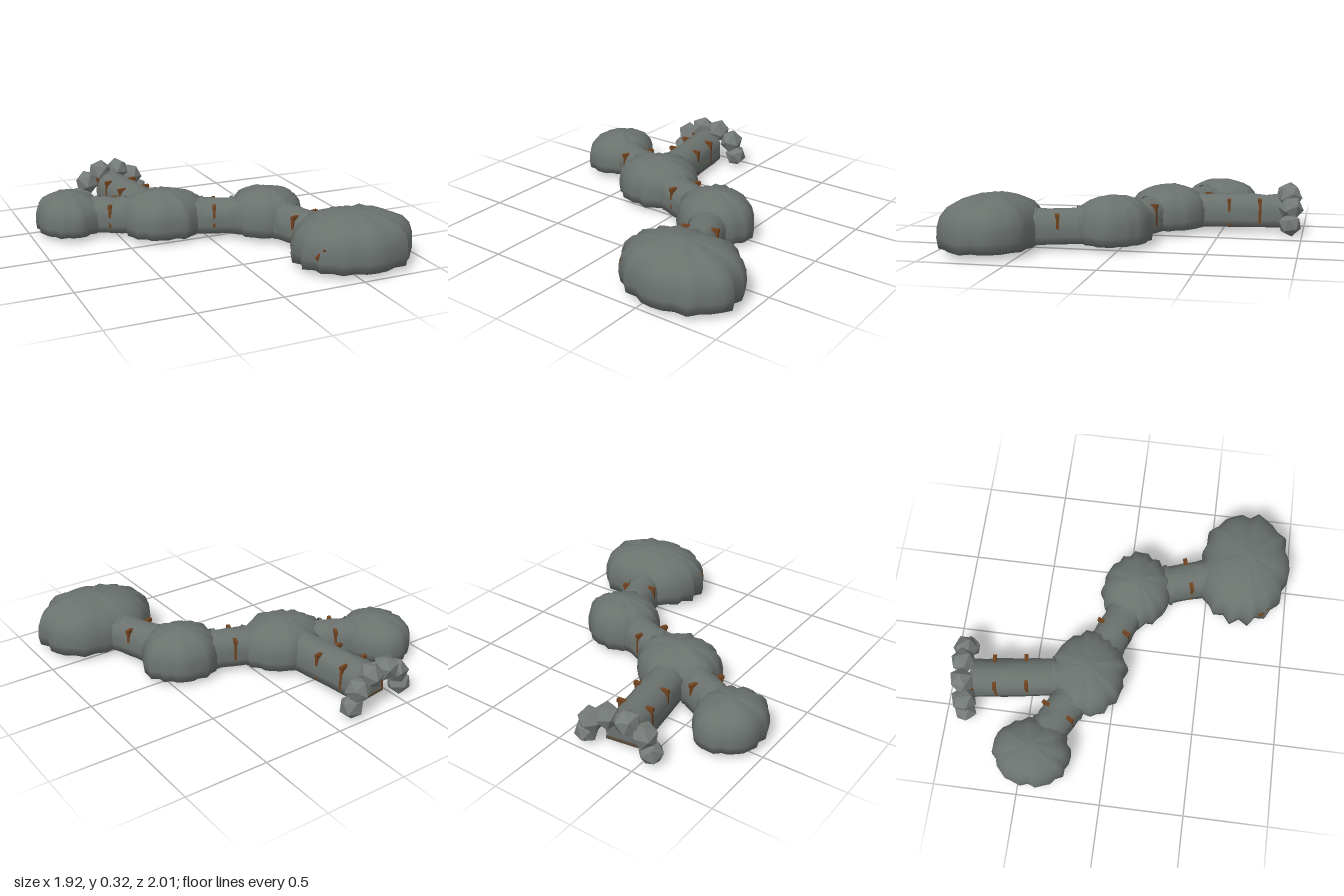
import * as THREE from 'three';

const FLOOR = 0.04;

const mat = (name, color, opts = {}) => {
  const m = new THREE.MeshStandardMaterial({ color, ...opts });
  m.name = name;
  return m;
};

// small seeded random generator
function seeded(seed) {
  let s = seed;
  return () => {
    s = (s * 16807) % 2147483647;
    return s / 2147483647;
  };
}

// closed loft through rows of [x, y, z] points
function loft(rows) {
  const n = rows[0].length, index = [];
  for (let i = 0; i < rows.length - 1; i++) {
    for (let j = 0; j < n; j++) {
      const k = (j + 1) % n, a = i * n, b = a + n;
      index.push(a + j, b + j, a + k, a + k, b + j, b + k);
    }
  }
  const g = new THREE.BufferGeometry();
  g.setAttribute('position', new THREE.Float32BufferAttribute(rows.flat(2), 3));
  g.setIndex(index);
  g.computeVertexNormals();
  return g;
}

export function createModel() {
  const root = new THREE.Group();
  const rock = mat('cave rock', 0x6b726e, { side: THREE.DoubleSide });
  const boulderMat = mat('boulder rock', 0x757b78, { flatShading: true });
  const earth = mat('earth floor', 0x574b3a);
  const wood = mat('timber', 0x70421f);

  const add = (parent, name, geo, material, x = 0, y = 0, z = 0) => {
    const m = new THREE.Mesh(geo, material);
    m.name = name;
    m.position.set(x, y, z);
    parent.add(m);
    return m;
  };

  // chambers: squashed domes with a scalloped outline; the first two bands are the floor
  const profile = [[0, 0], [0.6, 0], [0.97, 0], [1, 0.2], [0.985, 0.42], [0.93, 0.6], [0.8, 0.76],
    [0.6, 0.865], [0.36, 0.94], [0.15, 0.985], [0, 1]];
  const chambers = [
    { name: 'westChamber', x: -0.75, z: -0.437, rx: 0.212, rz: 0.245, h: 0.23, seed: 11 },
    { name: 'hubChamber', x: -0.228, z: -0.17, rx: 0.275, rz: 0.238, h: 0.257, seed: 29 },
    { name: 'eastChamber', x: 0.36, z: 0.06, rx: 0.242, rz: 0.225, h: 0.266, seed: 47 },
    { name: 'greatChamber', x: 0.59, z: 0.715, rx: 0.372, rz: 0.295, h: 0.292, seed: 83 },
  ];
  for (const c of chambers) {
    const rnd = seeded(c.seed * 7919), seg = 32;
    const lobes = Array.from({ length: seg }, (_, j) => 0.955 + (j % 2 ? 0.03 : -0.03) + (rnd() - 0.5) * 0.09);
    const rows = profile.map(([r, y], i) => lobes.map((l, j) => {
      const a = (j / seg) * Math.PI * 2;
      const k = r * (1 + (l - 1) * (i < 7 ? 1 : 0.7));
      const lift = i > 4 && i < 9 ? 1 + (l - 0.95) * 0.4 : 1;
      return [Math.cos(a) * c.rx * k, y * c.h * lift, Math.sin(a) * c.rz * k];
    }));
    const geo = loft(rows), floorCount = 2 * seg * 6;
    geo.addGroup(0, floorCount, 0);
    geo.addGroup(floorCount, geo.index.count - floorCount, 1);
    add(root, c.name, geo, [earth, rock], c.x, FLOOR, c.z);
  }

  // arch cross-section: straight walls and a round vault
  const arch = (half, wall) => {
    const pts = [[half, 0], [half, wall * 0.5]];
    for (let i = 0; i <= 10; i++) {
      const a = (i / 10) * Math.PI;
      pts.push([Math.cos(a) * half, wall + Math.sin(a) * half]);
    }
    return pts.concat([[-half, wall * 0.5], [-half, 0]]);
  };
  const vault = (half, wall, z0, z1, steps, wobble, rnd) => {
    const rows = [];
    for (let i = 0; i <= steps; i++) {
      rows.push(arch(half, wall).map(([x, y]) => {
        const k = 1 + (rnd() - 0.5) * wobble;
        return [x * k, y * k, z0 + ((z1 - z0) * i) / steps];
      }));
    }
    return loft(rows.reverse());
  };

  // timber frame: two posts and a cross beam that break through the vault
  const frame = (parent, z) => {
    const g = new THREE.Group();
    g.name = 'timberFrame';
    g.position.z = z;
    parent.add(g);
    for (const s of [-1, 1]) add(g, 'post', new THREE.BoxGeometry(0.016, 0.155, 0.016), wood, s * 0.097, 0.081, 0);
    add(g, 'crossBeam', new THREE.BoxGeometry(0.22, 0.022, 0.022), wood, 0, 0.16, 0);
  };

  // tunnels: from, to, collars and frames as distances along the run
  const tunnels = [
    { name: 'westTunnel', a: [-0.24, -0.17], b: [-0.75, -0.435], from: 0.17, to: 0.44, collars: [0.235, 0.4], frames: [0.306] },
    { name: 'eastTunnel', a: [-0.24, -0.17], b: [0.36, 0.07], from: 0.18, to: 0.5, collars: [0.245, 0.435], frames: [0.322] },
    { name: 'southTunnel', a: [0.36, 0.06], b: [0.58, 0.71], from: 0.13, to: 0.5, collars: [0.195, 0.45], frames: [0.325] },
    { name: 'entranceTunnel', a: [-0.24, -0.17], b: [-0.345, -0.89], from: 0.14, to: 0.7, collars: [0.2], frames: [0.37, 0.56], open: true },
  ];
  tunnels.forEach((t, n) => {
    const dx = t.b[0] - t.a[0], dz = t.b[1] - t.a[1], rnd = seeded(1234 + n * 977);
    const g = new THREE.Group();
    g.name = t.name;
    g.position.set(t.a[0], FLOOR + 0.002, t.a[1]);
    g.rotation.y = Math.atan2(dx, dz);
    root.add(g);
    add(g, 'vault', vault(0.105, 0.087, t.from, t.to, 6, 0.07, rnd), rock);
    for (const d of t.collars) add(g, 'collar', vault(0.112, 0.09, d - 0.01, d + 0.01, 1, 0.05, rnd), rock);
    t.frames.forEach((d) => frame(g, d));
    // rock face and earth sill at the mouth
    if (t.open) {
      const face = new THREE.Shape(arch(0.102, 0.086).map(([x, y]) => new THREE.Vector2(x, y)));
      add(g, 'mouthFace', new THREE.ShapeGeometry(face), rock, 0, 0, t.to + 0.002);
      add(g, 'mouthSill', new THREE.BoxGeometry(0.205, 0.016, 0.02), earth, 0, 0.008, t.to);
      add(g, 'mouthPost', new THREE.BoxGeometry(0.016, 0.155, 0.016), wood, 0.098, 0.081, t.to - 0.004);
    }
  });

  // boulders arched around the entrance
  const entrance = new THREE.Group();
  entrance.name = 'entranceBoulders';
  entrance.position.set(-0.34, 0, -0.905);
  entrance.rotation.y = 0.16;
  root.add(entrance);
  const rnd = seeded(4242);
  for (let i = 0; i < 6; i++) {
    const a = (i / 5) * Math.PI;
    const b = add(entrance, 'boulder', new THREE.IcosahedronGeometry(0.072 + rnd() * 0.008, 0), boulderMat,
      Math.cos(a) * 0.201, 0.078 + Math.sin(a) * 0.158, (rnd() - 0.5) * 0.02);
    b.rotation.set(rnd() * 3, rnd() * 3, rnd() * 3);
  }

  // slanted prop poking out of the great chamber
  const prop = add(root, 'slantedProp', new THREE.CylinderGeometry(0.013, 0.013, 0.08, 6), wood, 0.3, 0.15, 0.855);
  prop.rotation.set(0.5, 0, -0.4);

  return root;
}
